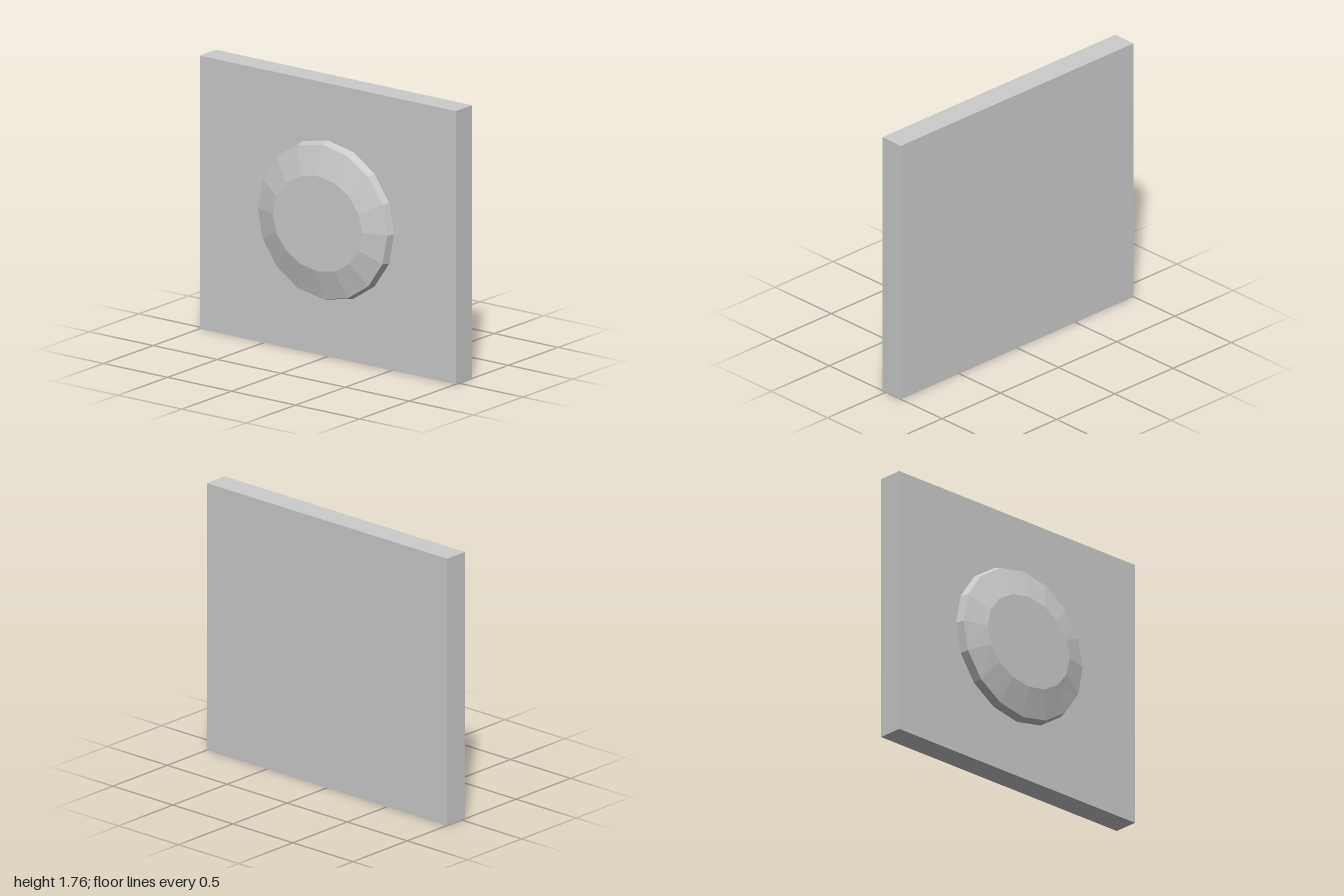
import * as THREE from 'three';

const CENTRE_Y = 0.878;
const FRONT_Z = 0.03;
const SIDES = 16;

export function createModel() {
  const model = new THREE.Group();
  const material = new THREE.MeshStandardMaterial({ color: 0xcccccc, flatShading: true });

  // Flat wall panel, divided by a seam at mid height
  const panel = new THREE.Mesh(new THREE.BoxGeometry(2, 2 * CENTRE_Y, 0.164, 1, 2, 1), material);
  panel.name = 'panel';
  panel.position.set(0, CENTRE_Y, FRONT_Z - 0.082);
  model.add(panel);

  // Faceted boss: slightly tapered rim, sloping bevel, flat face.
  // Each ring is [half width, half height, depth], from panel to face centre.
  const rings = [[0.518, 0.511, 0], [0.506, 0.496, 0.054], [0.348, 0.306, 0.104], [0, 0, 0.104]];
  const profile = rings.map(([rx, , z]) => new THREE.Vector2(rx, z));
  const geometry = new THREE.LatheGeometry(profile, SIDES);
  geometry.rotateX(Math.PI / 2); // axis now points to the front

  // Flatten every ring to its own height
  const pos = geometry.attributes.position;
  for (let i = 0; i < pos.count; i++) {
    const [rx, ry] = rings[i % rings.length];
    if (rx > 0) pos.setY(i, pos.getY(i) * ry / rx);
  }
  geometry.computeVertexNormals();

  const boss = new THREE.Mesh(geometry, material);
  boss.name = 'boss';
  boss.position.set(0, CENTRE_Y, FRONT_Z);
  model.add(boss);

  return model;
}
